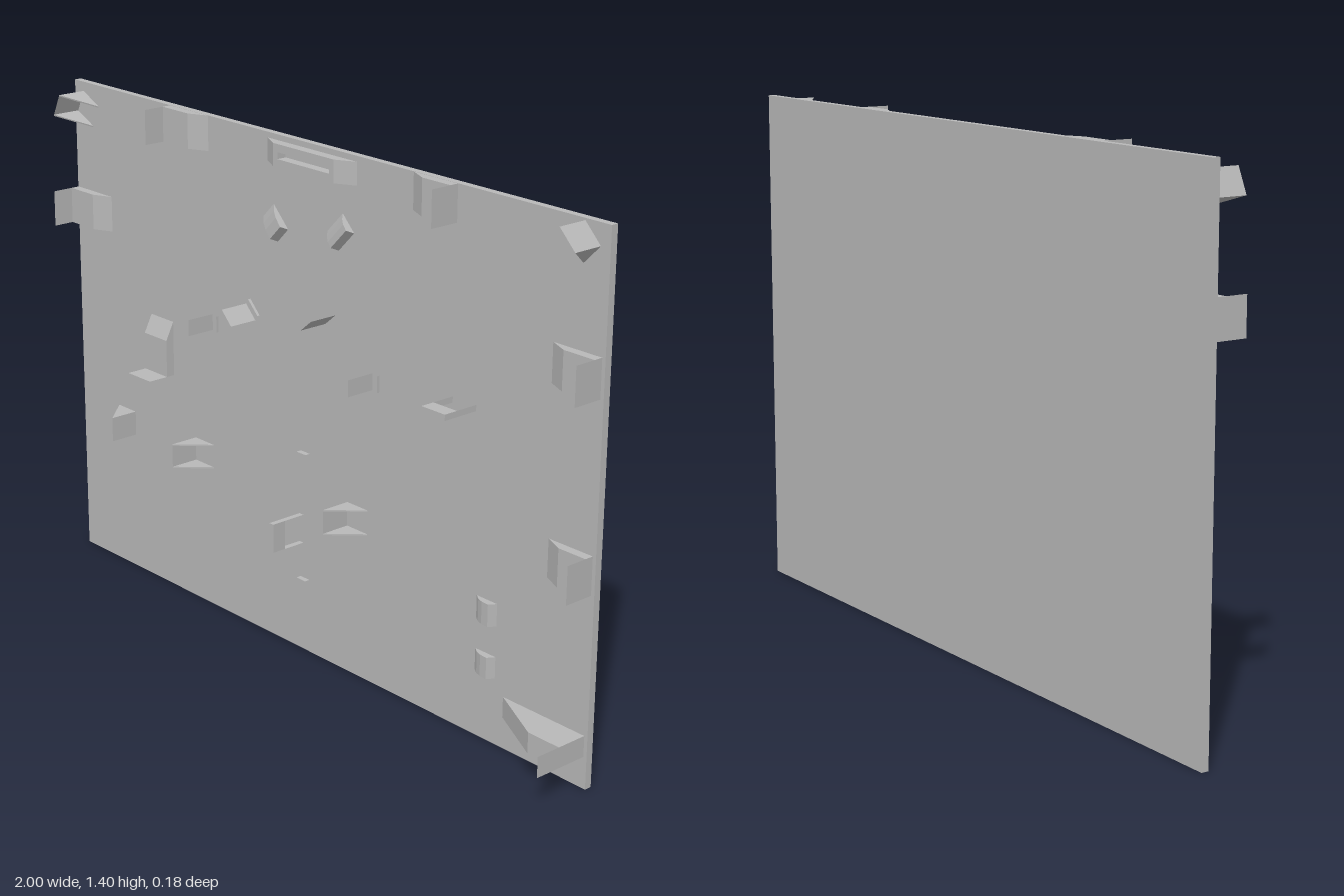
import * as THREE from 'three';

export function createModel() {
  const root = new THREE.Group();
  const grey = new THREE.MeshStandardMaterial({ color: 0xb8b8b8 });
  grey.name = 'panel grey';
  grey.side = THREE.DoubleSide; // tongues and tabs are thin sheets
  const FACE = -0.07; // z of the panel's front face

  function add(parent, name, geometry, x = 0, y = 0, z = 0) {
    const mesh = new THREE.Mesh(geometry, grey);
    mesh.name = name;
    mesh.position.set(x, y, z);
    parent.add(mesh);
    return mesh;
  }

  // Group standing on the panel face, turned by an angle in degrees
  function mount(name, x, y, degrees = 0) {
    const group = new THREE.Group();
    group.name = name;
    group.position.set(x, y, FACE);
    group.rotation.z = THREE.MathUtils.degToRad(degrees);
    root.add(group);
    return group;
  }

  // Side profile in (x, z), extruded symmetrically along y
  function prism(points, width) {
    const shape = new THREE.Shape(points.map(([u, h]) => new THREE.Vector2(u, h)));
    const geometry = new THREE.ExtrudeGeometry(shape, { depth: width, bevelEnabled: false });
    return geometry.translate(0, 0, -width / 2).rotateX(Math.PI / 2);
  }

  // Thin sheet standing out of the panel, running along local y
  function sheet(height, width, bottom = 0) {
    return new THREE.PlaneGeometry(height, width).rotateY(Math.PI / 2)
      .translate(0, 0, bottom + height / 2);
  }

  // Ramped foot with an upright tongue at its outer end
  function bracket(x, y, degrees, length, width, ramp = 0.055, foot = 0.025, tongue = 0.085) {
    const g = mount('bracket', x, y, degrees);
    add(g, 'bracketFoot', prism([[0, 0], [0, foot], [length - ramp, foot], [length, 0]], width));
    add(g, 'bracketTongue', sheet(tongue, width));
  }

  // Upright tongue braced by two triangular gussets
  function clip(x, y, degrees, length = 0.077, width = 0.07, height = 0.083) {
    const g = mount('clip', x, y, degrees);
    add(g, 'clipTongue', sheet(height, width));
    for (const s of [-1, 1]) {
      add(g, 'clipGusset', prism([[0, 0], [0, height], [length, 0]], 0.004), 0, s * (width / 2 - 0.002));
    }
  }

  // Upright tab with a low rib behind it
  function tab(x, y, degrees, width, height = 0.083) {
    const g = mount('tab', x, y, degrees);
    add(g, 'tabSheet', sheet(height, width));
    add(g, 'tabRib', sheet(0.008, width), 0.025);
  }

  // Bar held off the panel by two thin legs
  function handle(x, y, degrees, length) {
    const g = mount('handle', x, y, degrees);
    add(g, 'handleBar', new THREE.BoxGeometry(length, 0.016, 0.04), 0, 0, 0.085);
    for (const s of [-1, 1]) add(g, 'handleLeg', sheet(0.067, 0.016), s * length / 2);
  }

  // Low curved pad rising from one end to the other
  function pad(x, y, degrees, length, width) {
    const h = 0.02;
    add(mount('pad', x, y, degrees), 'padBody', prism([
      [-length / 2, 0], [-length / 4, h * 0.6], [0, h * 0.9], [length / 2 - 0.012, h], [length / 2, 0],
    ], width));
  }

  // Main panel
  add(root, 'panel', new THREE.BoxGeometry(2, 1.4, 0.02), 0, 0.7, -0.08);

  // Edge brackets
  bracket(-0.57, 1.352, 0, 0.16, 0.095);
  bracket(0.52, 1.352, 180, 0.15, 0.095);
  bracket(-0.998, 1.043, 0, 0.155, 0.1);
  bracket(0.99, 1.04, 180, 0.15, 0.1);
  bracket(0.99, 0.555, 180, 0.14, 0.1);
  bracket(-0.622, 0.638, 90, 0.155, 0.097, 0.05);
  bracket(0.99, 0.112, 180, 0.27, 0.056, 0.17, 0.088, 0.16);

  // Gusseted clips, the two upper ones turned across the corners
  clip(-0.755, 0.445, 180);
  clip(-0.48, 0.445, 0);
  clip(0.145, 0.445, 0);
  clip(-0.976, 1.342, -25);
  clip(0.946, 1.37, 225, 0.07);

  // Standing tabs
  tab(-0.4, 0.835, 0, 0.045);
  tab(0.235, 0.833, 0, 0.045);
  tab(-0.24, 0.902, 45, 0.053);
  add(mount('tab', 0.075, 0.957, -50), 'tabSheet', sheet(0.083, 0.05));
  for (const y of [0.57, 0.21]) {
    add(mount('smallTab', -0.02, y, 90), 'tabSheet', sheet(0.015, 0.035));
  }

  // Bar handles
  handle(-0.035, 0.35, 90, 0.08);
  handle(0.56, 0.863, 0, 0.08);

  // Low pads
  pad(0.655, 0.35, 0, 0.07, 0.06);
  pad(0.655, 0.208, 0, 0.07, 0.058);
  pad(-0.137, 1.167, -45, 0.08, 0.057);
  pad(0.112, 1.195, -45, 0.06, 0.08);

  // Loose strip in front of the panel
  add(root, 'floatingStrip', new THREE.PlaneGeometry(0.06, 0.135), -0.46, 0.738, -0.035);

  // Slotted bar at the top centre, with a ramp at each end
  const bar = mount('slottedBar', 0, 1.355);
  const outline = (w, h) => [[-w, -h], [w, -h], [w, h], [-w, h]].map(([x, y]) => new THREE.Vector2(x, y));
  const frame = new THREE.Shape(outline(0.115, 0.03));
  frame.holes.push(new THREE.Path(outline(0.098, 0.009)));
  add(bar, 'slotFrame', new THREE.ExtrudeGeometry(frame, { depth: 0.028, bevelEnabled: false }));
  for (const s of [-1, 1]) {
    add(bar, 'slotRamp', prism([[s * 0.115, 0], [s * 0.115, 0.028], [s * 0.17, 0]], 0.06));
  }

  return root;
}
